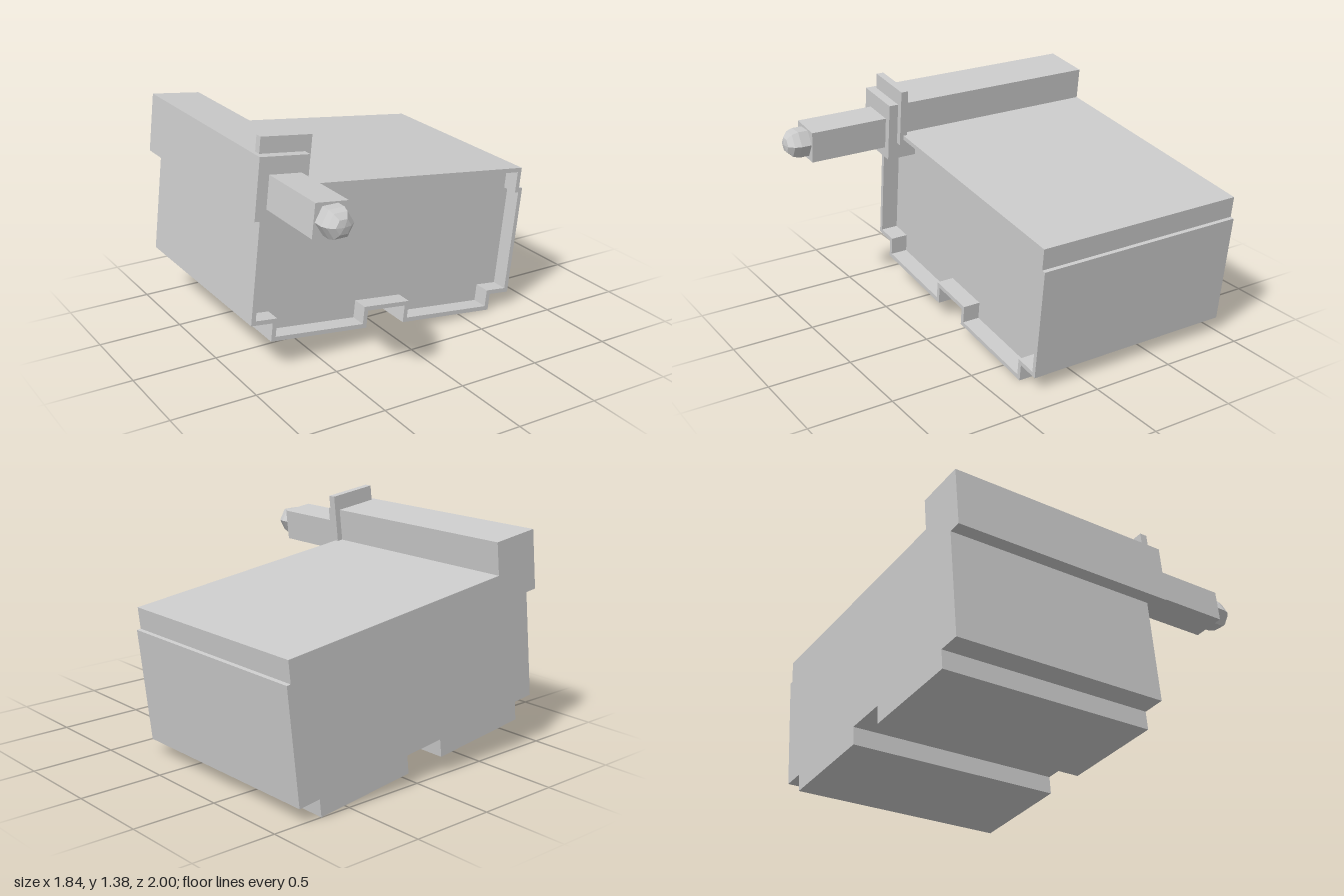
import * as THREE from 'three';

const TILT = 0.121;  // the whole body leans about z
const RIM = 0.026;   // wall thickness of the front rim
const material = new THREE.MeshStandardMaterial({ color: 0xcccccc, flatShading: true });

function addMesh(parent, name, geometry) {
  const mesh = new THREE.Mesh(geometry, material);
  mesh.name = name;
  parent.add(mesh);
  return mesh;
}

// Box given by its limits on each axis
function addBox(parent, name, [x0, x1], [y0, y1], [z0, z1]) {
  const mesh = addMesh(parent, name, new THREE.BoxGeometry(x1 - x0, y1 - y0, z1 - z0));
  mesh.position.set((x0 + x1) / 2, (y0 + y1) / 2, (z0 + z1) / 2);
}

function extrude(shape, z0, z1) {
  return new THREE.ExtrudeGeometry(shape, { depth: z1 - z0, bevelEnabled: false }).translate(0, 0, z0);
}

// Moves each right-angled corner of a counter-clockwise outline inwards by d
function inset(points, d) {
  const n = points.length;
  return points.map((p, i) => {
    const a = p.clone().sub(points[(i + n - 1) % n]).normalize();
    const b = points[(i + 1) % n].clone().sub(p).normalize();
    return new THREE.Vector2(p.x - (a.y + b.y) * d, p.y + (a.x + b.x) * d);
  });
}

export function createModel() {
  const model = new THREE.Group();
  const tilted = new THREE.Group();
  tilted.name = 'tiltedBody';
  tilted.rotation.z = -TILT;
  model.add(tilted);

  // Housing outline: notched bottom, small step on the right side
  const outline = [
    [-0.951, 0.197], [-0.818, 0.197], [-0.818, 0.087], [-0.197, 0.087],
    [-0.197, 0.193], [0.057, 0.193], [0.057, 0.087], [0.685, 0.087],
    [0.685, 0.19], [0.82, 0.19], [0.82, 0.861], [0.795, 0.861],
    [0.795, 0.988], [-0.951, 0.988],
  ].map(([x, y]) => new THREE.Vector2(x, y));
  addMesh(tilted, 'housing', extrude(new THREE.Shape(outline), -1, 0.2));

  // Raised rim around the recessed front
  const rim = new THREE.Shape(outline);
  rim.holes.push(new THREE.Path(inset(outline, RIM)));
  addMesh(tilted, 'frontRim', extrude(rim, 0.2, 0.305));

  // Corner bar with its collar plate and square rod
  addBox(tilted, 'cornerBar', [-1.026, -0.727], [0.828, 1.18], [-1, 0.385]);
  addBox(tilted, 'collarPlate', [-1.0, -0.691], [0.929, 1.272], [0.283, 0.328]);
  addBox(tilted, 'rod', [-0.962, -0.769], [0.893, 1.082], [0.385, 0.865]);

  // Six-sided domed tip
  const profile = [[0, 0.84], [0.09, 0.84], [0.09, 0.925], [0.078, 0.963], [0.045, 0.992], [0, 1]]
    .map(([r, z]) => new THREE.Vector2(r, z));
  const tip = new THREE.LatheGeometry(profile, 6, Math.PI / 2).rotateX(Math.PI / 2);
  addMesh(model, 'tip', tip).position.set(-0.74, 1.088, 0);

  return model;
}
